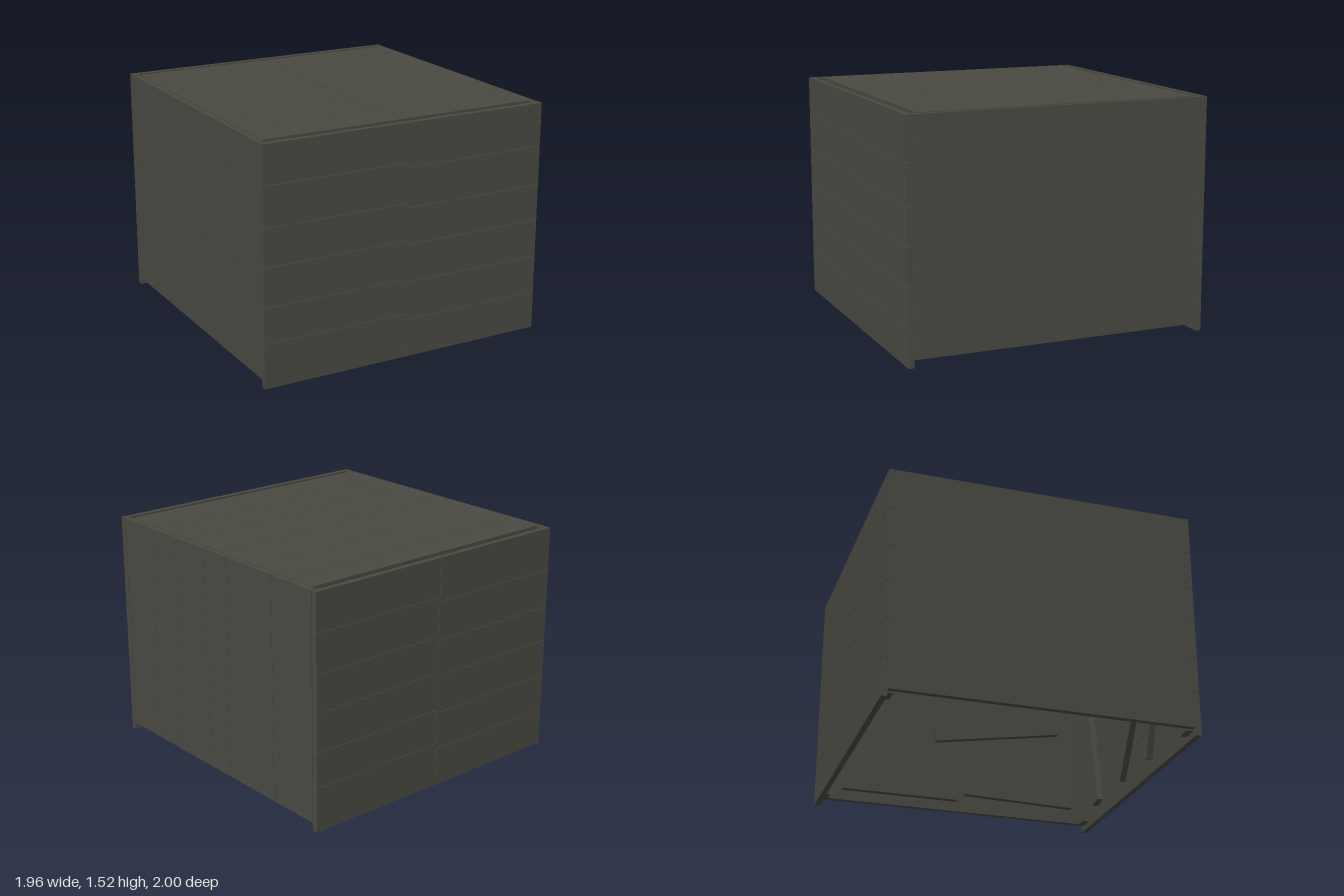
import * as THREE from 'three';

const H = 1.52, T = 0.036, GAP = 0.003;

export function createModel() {
  const model = new THREE.Group();
  const wood = new THREE.MeshStandardMaterial({ color: 0x4a4a42 });
  wood.name = 'dark weathered wood';

  // Box given by its lower and upper limits on each axis
  const box = (parent, name, x0, x1, y0, y1, z0, z1) => {
    const m = new THREE.Mesh(new THREE.BoxGeometry(x1 - x0, y1 - y0, z1 - z0), wood);
    m.name = name;
    m.position.set((x0 + x1) / 2, (y0 + y1) / 2, (z0 + z1) / 2);
    parent.add(m);
    return m;
  };
  // Calls back with each interval between cuts, leaving a hairline gap
  const planks = (cuts, fn) => {
    for (let i = 0; i < cuts.length - 1; i++) {
      fn(cuts[i] + (i ? GAP / 2 : 0), cuts[i + 1] - (i < cuts.length - 2 ? GAP / 2 : 0));
    }
  };
  // Flat batten lying in the local xy plane, from (ax, ay) to (bx, by)
  const batten = (parent, name, [ax, ay, bx, by], z, width = 0.1) => {
    const len = Math.hypot(bx - ax, by - ay);
    const m = new THREE.Mesh(new THREE.BoxGeometry(len, width, 0.042), wood);
    m.name = name;
    m.position.set((ax + bx) / 2, (ay + by) / 2, z);
    m.rotation.z = Math.atan2(by - ay, bx - ax);
    parent.add(m);
  };

  // Front and back walls: two columns of horizontal planks
  const leftCuts = [0, 0.29, 0.52, 0.77, 1.013, 1.27, H];
  const rightCuts = [0, 0.25, 0.5, 0.746, 0.983, 1.24, H];
  const endBraces = [
    [-0.56, 1.44, -0.84, 0.5], [-0.58, 0.98, -0.27, 0.1], [-0.4, 1.0, 0.18, 0.12],
    [0.1, 0.82, 0.3, 1.4], [0.6, 0.1, 0.72, 0.8], [0.45, 1.44, 0.84, 0.95], [-0.08, 1.44, -0.36, 1.02],
  ];
  for (const side of [1, -1]) {
    const wall = new THREE.Group();
    wall.name = side > 0 ? 'frontWall' : 'backWall';
    if (side < 0) wall.rotation.y = Math.PI;
    planks(leftCuts, (a, b) => box(wall, 'wallPlank', -0.98, -GAP / 2, a, b, 1 - T, 1));
    planks(rightCuts, (a, b) => box(wall, 'wallPlank', GAP / 2, 0.98, a, b, 1 - T, 1));
    // Corner posts, middle posts and loose braces on the inside
    for (const x of [-0.89, 0.89]) box(wall, 'cornerPost', x - 0.05, x + 0.05, 0.04, 1.485, 0.92, 1 - T);
    for (const x of [-0.08, 0.08]) box(wall, 'topBlock', x - 0.05, x + 0.05, 1.2, 1.485, 0.921, 1 - T);
    for (const b of endBraces) batten(wall, 'wallBrace', b, 0.942);
    model.add(wall);
  }

  // Side walls: vertical planks hung a little above the ground
  const sideCuts = [-0.958, -0.59, -0.15, 0.07, 0.39, 0.65, 0.958];
  const sideBraces = [
    [-0.86, 0.2, -0.06, 0.22], [0.0, 0.17, 0.82, 0.17], [-0.76, 0.76, 0.17, 0.6],
    [-0.6, 1.4, -0.45, 1.02], [0.1, 1.35, 0.75, 0.95],
  ];
  for (const side of [1, -1]) {
    const wall = new THREE.Group();
    wall.name = side > 0 ? 'leftWall' : 'rightWall';
    if (side < 0) wall.rotation.y = Math.PI;
    planks(sideCuts, (a, b) => box(wall, 'sidePlank', 0.944, 0.98, 0.05, H, a, b));
    const frame = new THREE.Group();
    frame.name = 'sideBracing';
    frame.rotation.y = Math.PI / 2;
    for (const b of sideBraces) batten(frame, 'sideBrace', b, 0.922);
    wall.add(frame);
    model.add(wall);
  }

  // Roof: planks along x in two columns, set just inside the walls
  const roof = new THREE.Group();
  roof.name = 'roof';
  planks([-0.92, -0.695, -0.35, 0, 0.35, 0.65, 0.92],
    (a, b) => box(roof, 'roofPlank', -0.94, -GAP / 2, 1.488, 1.523, a, b));
  planks([-0.92, -0.717, -0.4, -0.05, 0.3, 0.6, 0.92],
    (a, b) => box(roof, 'roofPlank', GAP / 2, 0.94, 1.488, 1.523, a, b));
  // Battens under the roof that carry its planks
  for (const x of [-0.49, 0, 0.49]) box(roof, 'roofBatten', x - 0.05, x + 0.05, 1.445, 1.488, -0.9, 0.9);
  model.add(roof);

  return model;
}
